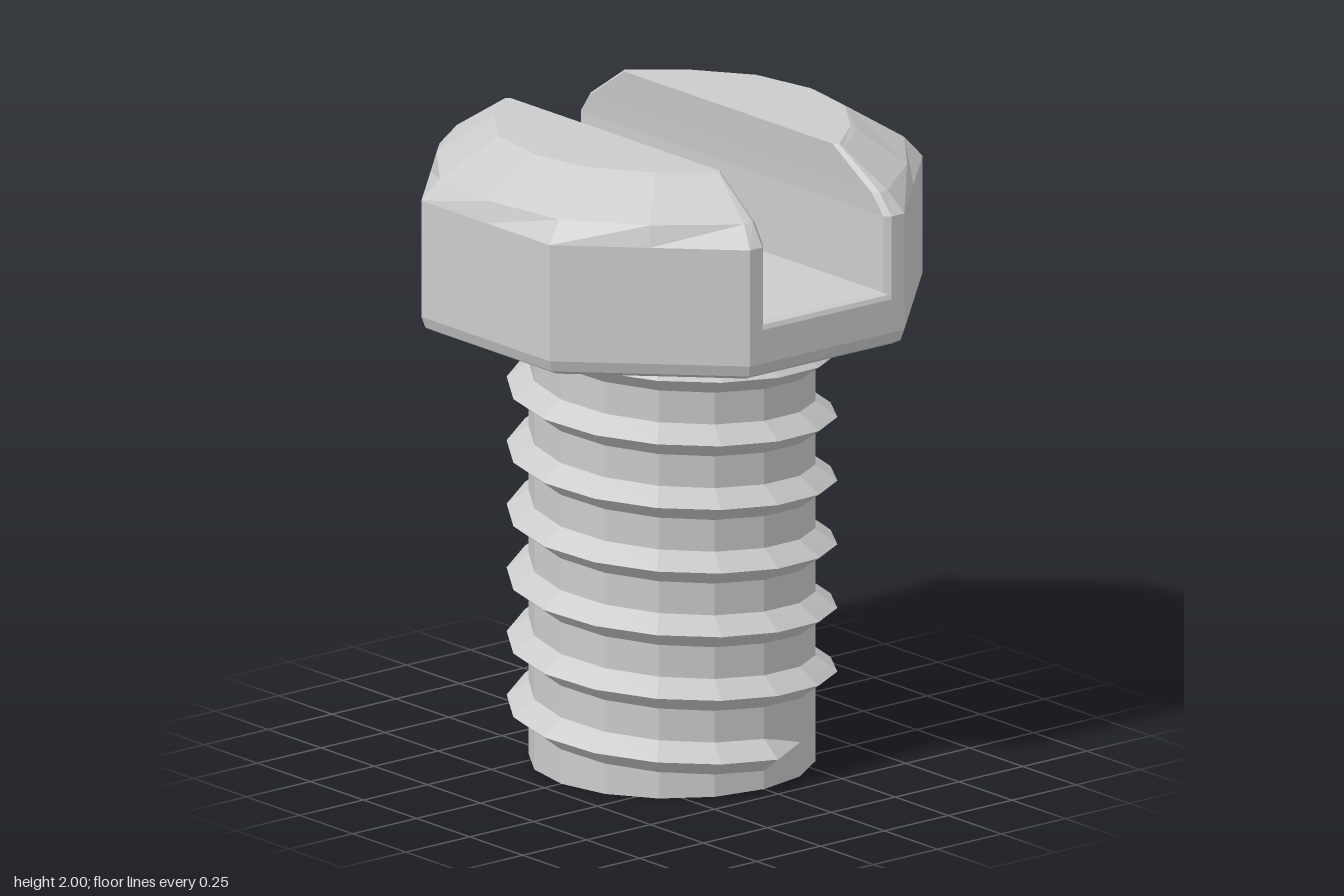
import * as THREE from 'three';

const SIDES = 16, STEP = Math.PI * 2 / SIDES;
const HEAD_R = 0.73, CORNER = 1 / Math.cos(STEP);

// Joins rings of points (counter-clockwise seen from the far end) into a closed solid.
function loft(rings) {
  const pos = [];
  const tri = (...p) => p.forEach((v) => pos.push(...v));
  const n = rings[0].length, last = rings[rings.length - 1];
  for (let i = 0; i < rings.length - 1; i++) {
    for (let j = 0; j < n; j++) {
      const k = (j + 1) % n;
      const a = rings[i][j], b = rings[i][k], c = rings[i + 1][k], d = rings[i + 1][j];
      tri(a, b, c);
      tri(a, c, d);
    }
  }
  for (let j = 1; j < n - 1; j++) {
    tri(rings[0][0], rings[0][j + 1], rings[0][j]);
    tri(last[0], last[j], last[j + 1]);
  }
  const g = new THREE.BufferGeometry();
  g.setAttribute('position', new THREE.Float32BufferAttribute(pos, 3));
  g.computeVertexNormals();
  return g;
}

// Point k of a 16-point ring: mid radius on even points, corner radius on odd ones.
function ringPoint(k, y, mid, corner) {
  const r = k % 2 ? corner : mid;
  return [r * Math.sin(k * STEP), y, r * Math.cos(k * STEP)];
}

function octagon(y, r) {
  return Array.from({ length: SIDES }, (_, k) => ringPoint(k, y, r, r * CORNER));
}

// Half ring beside the slot: wall at x = w, its end edges bevelled by b.
function jawRing({ y, mid, corner, w, b }) {
  const x = w + b;
  const p1 = ringPoint(1, y, mid, corner);
  const z = mid + (p1[2] - mid) * Math.min(1, x / p1[0]);
  const ring = [[w, y, z - b], [x, y, z]];
  for (let k = 1; k < SIDES / 2; k++) {
    const p = ringPoint(k, y, mid, corner);
    p[0] = Math.max(p[0], x + 0.004);
    ring.push(p);
  }
  ring.push([x, y, -z], [w, y, -z + b]);
  return ring;
}

// Spiral ridge with a triangular section, tapering to a point at both ends.
function threadGeometry() {
  const rings = [], turns = 6.5, pitch = 0.2, count = turns * SIDES;
  for (let i = -1; i <= count + 1; i++) {
    const taper = i < 0 || i > count;
    const a = i * STEP;
    const y = 0.108 + pitch * Math.max(0, i) / SIDES;
    const h = taper ? 0.001 : 0.053;
    const at = (r, yy) => [-r * Math.sin(a), yy, r * Math.cos(a)];
    rings.push([at(0.43, y - h), at(taper ? 0.436 : 0.5, y), at(0.43, y + h)]);
  }
  return loft(rings);
}

export function createModel() {
  const model = new THREE.Group();
  model.name = 'slottedBolt';
  const material = new THREE.MeshStandardMaterial({ color: 0xcccccc, flatShading: true });
  const add = (name, geometry) => {
    const mesh = new THREE.Mesh(geometry, material);
    mesh.name = name;
    model.add(mesh);
    return mesh;
  };

  // Shank and thread
  const shank = add('shank', new THREE.CylinderGeometry(0.434, 0.434, 1.45, SIDES));
  shank.position.y = 0.725;
  add('thread', threadGeometry());

  // Lower head, whose top is the slot floor
  add('headBase', loft([
    octagon(1.405, 0.69), octagon(1.42, 0.718), octagon(1.455, HEAD_R),
    octagon(1.56, HEAD_R), octagon(1.574, 0.724), octagon(1.58, 0.71),
  ]));

  // Two jaws either side of the slot, chamfered from octagon to round top
  const outer = { mid: HEAD_R, corner: HEAD_R * CORNER };
  const jaw = loft([
    { y: 1.555, ...outer, w: 0.235, b: 0.018 },
    { y: 1.82, ...outer, w: 0.235, b: 0.018 },
    { y: 1.885, mid: 0.711, corner: 0.732, w: 0.23, b: 0.018 },
    { y: 1.99, mid: 0.56, corner: 0.562, w: 0.221, b: 0.014 },
    { y: 2, mid: 0.54, corner: 0.545, w: 0.22, b: 0.012 },
  ].map(jawRing));
  add('leftJaw', jaw);
  add('rightJaw', jaw).rotation.y = Math.PI;

  return model;
}
